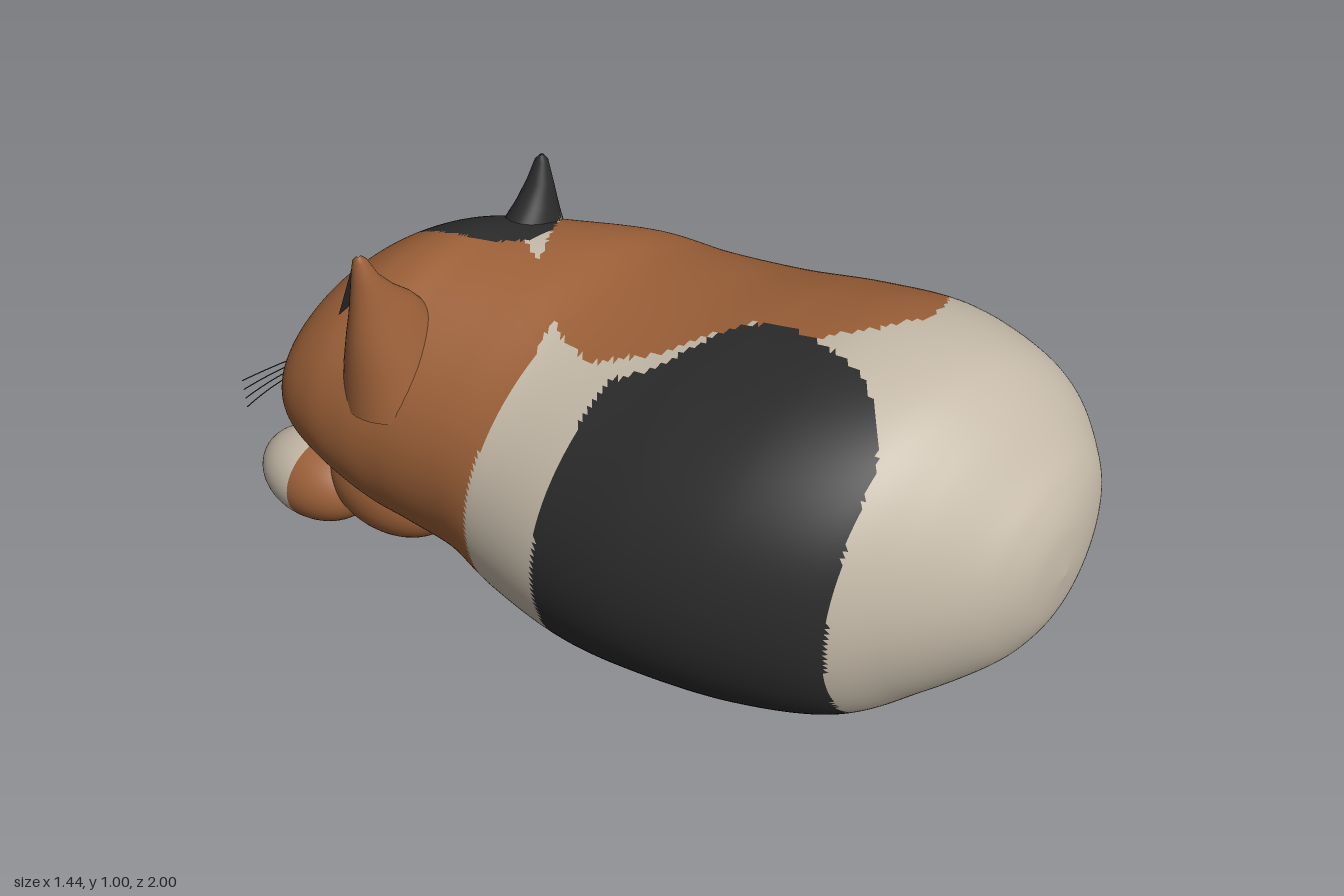
import * as THREE from 'three';

const cream = new THREE.MeshStandardMaterial({ color: 0xc4b9a8 }); cream.name = 'creamFur';
const ginger = new THREE.MeshStandardMaterial({ color: 0x9c6038 }); ginger.name = 'gingerFur';
const black = new THREE.MeshStandardMaterial({ color: 0x2b2b2b, side: THREE.DoubleSide }); black.name = 'blackFur';
const FUR = [cream, ginger, black];
const CREAM = 0, GINGER = 1, BLACK = 2;

// Sort the triangles into one group per fur colour
function paint(geo, colourAt) {
  const p = geo.attributes.position, idx = geo.index.array, lists = [[], [], []];
  for (let i = 0; i < idx.length; i += 3) {
    const t = [idx[i], idx[i + 1], idx[i + 2]];
    const mid = (get) => (get(t[0]) + get(t[1]) + get(t[2])) / 3;
    lists[colourAt(mid((k) => p.getX(k)), mid((k) => p.getY(k)), mid((k) => p.getZ(k)))].push(...t);
  }
  geo.setIndex(lists.flat());
  geo.clearGroups();
  let start = 0;
  lists.forEach((l, m) => { if (l.length) geo.addGroup(start, l.length, m); start += l.length; });
  return geo;
}

// Closed rings of points joined into a smooth skin
function loft(rings) {
  const n = rings[0].length, index = [];
  for (let i = 0; i < rings.length - 1; i++) {
    for (let j = 0; j < n; j++) {
      const a = i * n + j, b = i * n + (j + 1) % n;
      index.push(a, a + n, b, b, a + n, b + n);
    }
  }
  const geo = new THREE.BufferGeometry().setFromPoints(rings.flat());
  geo.setIndex(index);
  geo.computeVertexNormals();
  return geo;
}
const circle = (n, f) => Array.from({ length: n }, (_, j) => f(Math.cos(j / n * Math.PI * 2), Math.sin(j / n * Math.PI * 2)));

// Body and head sections: z, right edge, left edge, bottom, top
const SECTIONS = [
  [1, .04, .04, .43, .43], [.985, -.08, .16, .31, .55], [.95, -.17, .28, .22, .63], [.9, -.25, .37, .15, .69],
  [.8, -.38, .47, .06, .79], [.68, -.51, .525, -.02, .86], [.5, -.61, .56, -.05, .89], [.3, -.67, .545, -.05, .87],
  [.1, -.69, .5, -.05, .84], [-.1, -.68, .43, -.02, .835], [-.25, -.67, .35, .04, .86], [-.4, -.69, .22, .09, .875],
  [-.5, -.71, .13, .13, .88], [-.6, -.72, .065, .2, .85], [-.7, -.7, 0, .27, .78], [-.78, -.63, -.08, .33, .67],
  [-.83, -.54, -.17, .37, .59], [-.855, -.45, -.24, .41, .53], [-.868, -.34, -.34, .47, .47],
];
function section(t) {
  const last = SECTIONS.length - 1, f = t * last, i = Math.min(Math.floor(f), last - 1), u = f - i;
  const at = (k) => SECTIONS[Math.max(0, Math.min(last, k))];
  const [z, xl, xr, yb, yt] = SECTIONS[0].map((_, c) => {
    const a = at(i - 1)[c], b = at(i)[c], d = at(i + 1)[c], e = at(i + 2)[c];
    return b + .5 * u * (d - a + u * (2 * a - 5 * b + 4 * d - e + u * (3 * (b - d) + e - a)));
  });
  return { z, cx: (xl + xr) / 2, cy: (yb + yt) / 2, rx: (xr - xl) / 2, ry: (yt - yb) / 2 };
}
// Depth of the face surface at a given x and y
function faceZ(x, y) {
  let lo = .66, hi = 1;
  for (let k = 0; k < 30; k++) {
    const t = (lo + hi) / 2, s = section(t);
    if (((x - s.cx) / s.rx) ** 2 + ((y - s.cy) / s.ry) ** 2 < 1) lo = t; else hi = t;
  }
  return section(lo).z;
}

// Coat patches, outlined on the ground plane as x, z
const SADDLE = [[.7, .25], [.55, .33], [.35, .47], [.23, .53], [.13, .55], [0, .5], [-.1, .42], [-.12, .25], [-.3, .12],
  [-.38, 0], [-.36, -.1], [-.33, -.15], [-.45, -.12], [-.9, -.14], [-.9, -1], [.7, -1]];
const HIP = [[-.9, .1], [-.6, .08], [-.4, .07], [-.33, .15], [-.16, .22], [-.11, .28], [-.1, .35], [-.14, .55],
  [-.2, .64], [-.28, .7], [-.48, .725], [-.9, .73]];
const CHEEK = [[.3, -.47], [.17, -.46], [0, -.42], [-.12, -.35], [-.24, -.28], [-.2, -.36], [-.28, -.5], [-.28, -.65],
  [-.4, -.82], [-.36, -.95], [.3, -.95]];
function inside(poly, x, z) {
  let hit = false;
  poly.forEach(([ax, az], i) => {
    const [bx, bz] = poly[(i + 1) % poly.length];
    if ((az > z) !== (bz > z) && x < ax + (z - az) / (bz - az) * (bx - ax)) hit = !hit;
  });
  return hit;
}
const oval = (a, ca, ra, b, cb, rb) => ((a - ca) / ra) ** 2 + ((b - cb) / rb) ** 2 < 1;
function coat(x, y, z) {
  if (inside(HIP, x, z)) return BLACK;
  if (y > .6 && oval(x, -.15, .15, z, -.57, .22)) return BLACK;
  if (x > -.3 && oval(z, -.68, .085, y, .32, .08)) return BLACK;
  if (z < -.76 && oval(x, -.34, .16, y, .46, .11)) return CREAM;
  if (y > .2 && inside(CHEEK, x, z)) return CREAM;
  return inside(SADDLE, x, z) ? GINGER : CREAM;
}

export function createModel() {
  const cat = new THREE.Group();
  cat.name = 'sleepingCat';
  const add = (name, geo, mat) => {
    const mesh = new THREE.Mesh(geo, mat);
    mesh.name = name;
    cat.add(mesh);
  };

  // Body and head, flattened where they rest on the ground
  const bodyRings = Array.from({ length: 261 }, (_, i) => {
    const s = section(i / 260);
    return circle(180, (c, n) => new THREE.Vector3(s.cx + s.rx * c, Math.max(0, s.cy + s.ry * n), s.z));
  });
  add('bodyAndHead', paint(loft(bodyRings), coat), FUR);

  // Ears: y, outer x, inner x, half depth, flaring into the head
  const EAR = [[.6, -.69, -.42, .13], [.72, -.682, -.43, .1], [.8, -.672, -.455, .075], [.85, -.662, -.495, .058],
    [.89, -.655, -.54, .045], [.94, -.647, -.582, .031], [.99, -.64, -.607, .016], [1.003, -.63, -.62, .004]];
  for (const side of [-1, 1]) {
    const rings = EAR.map(([y, xo, xi, d]) => {
      const cx = -.335 - side * ((xo + xi) / 2 + .335), rx = (xi - xo) / 2;
      return circle(40, (c, n) => new THREE.Vector3(cx + rx * c, y, -.445 + d * n));
    });
    const rightColour = (x, y, z) => (side < 0 ? GINGER : y > .83 ? BLACK : CREAM);
    add(side < 0 ? 'rightEar' : 'leftEar', paint(loft(rings), rightColour), FUR);
  }
  // Dark inner face of the ginger ear
  const inner = [[-.648, .83], [-.555, .85], [-.625, .96]].map(([x, y]) =>
    new THREE.Vector3(x, y, y > .9 ? -.474 : -.513));
  const innerGeo = new THREE.BufferGeometry().setFromPoints(inner);
  innerGeo.computeVertexNormals();
  add('innerEar', innerGeo, black);

  // Tail curling round the side, taller than wide
  const path = new THREE.CatmullRomCurve3([[.44, .31, .53], [.55, .32, .4], [.625, .3, .2], [.637, .265, 0],
    [.59, .235, -.25], [.465, .205, -.47], [.27, .175, -.65], [.08, .155, -.755], [-.1, .15, -.82]]
    .map((p) => new THREE.Vector3(...p)));
  const up = new THREE.Vector3(0, 1, 0), N = 150;
  const tailRings = Array.from({ length: N + 1 }, (_, i) => {
    const t = i / N, p = path.getPointAt(t), u = path.getTangentAt(t).cross(up).normalize();
    const cap = Math.sqrt(Math.max(0, 1 - Math.max(0, 1 - t / .06, (t - .96) / .04) ** 2));
    const w = cap * (.09 - .035 * t), h = cap * (.125 - .07 * t);
    return circle(48, (c, n) => p.clone().addScaledVector(u, w * c).addScaledVector(up, h * n));
  });
  const tailColour = (x, y, z) => {
    const edge = .575 + .02 * Math.sin(z * 22) - Math.max(0, -z - .1) * .45;
    return z > -.28 && z < .29 && x < edge + .015 ? GINGER : CREAM;
  };
  add('tail', paint(loft(tailRings), tailColour), FUR);

  // Front legs and paws
  const blob = (name, [x, y, z], [a, b, c], colourAt) => {
    const geo = new THREE.SphereGeometry(1, 48, 32).rotateX(Math.PI / 2).scale(a, b, c).translate(x, y, z);
    add(name, paint(geo, colourAt), FUR);
  };
  blob('rightLeg', [-.48, .2, -.6], [.13, .13, .2], () => GINGER);
  blob('rightPaw', [-.535, .145, -.83], [.125, .115, .17], (x, y, z) => (z < -.81 ? CREAM : GINGER));
  blob('leftLeg', [-.12, .14, -.56], [.16, .11, .25], () => BLACK);
  blob('leftPaw', [-.14, .15, -.78], [.09, .085, .1], () => CREAM);
  blob('tailTip', [-.13, .15, -.86], [.03, .03, .04], () => CREAM);

  // Closed eyes and nose: thin ribbons laid on the face
  const ribbon = (name, x0, x1, low, high) => {
    const n = 24, pts = [], index = [];
    for (let i = 0; i <= n; i++) {
      const t = i / n, x = x0 + (x1 - x0) * t;
      for (const y of [low(t), high(t)]) pts.push(new THREE.Vector3(x, y, faceZ(x, y) - .006));
      if (i < n) index.push(2 * i, 2 * i + 1, 2 * i + 2, 2 * i + 2, 2 * i + 1, 2 * i + 3);
    }
    const geo = new THREE.BufferGeometry().setFromPoints(pts);
    geo.setIndex(index);
    geo.computeVertexNormals();
    add(name, geo, black);
  };
  const arc = (t) => .55 + .035 * Math.sin(Math.PI * t);
  const lid = (t) => arc(t) + .022 * Math.sin(Math.PI * t) + .002;
  ribbon('rightEye', -.42, -.57, arc, lid);
  ribbon('leftEye', -.26, -.11, arc, lid);
  ribbon('nose', -.365, -.315, (t) => .485 + .035 * Math.abs(2 * t - 1), () => .522);

  // Whiskers
  for (const side of [-1, 1]) {
    for (let k = 0; k < 4; k++) {
      const x = -.34 + side * .1, y = .445 + k * .012;
      const curve = new THREE.QuadraticBezierCurve3(
        new THREE.Vector3(x, y, faceZ(x, y) + .005),
        new THREE.Vector3(x + side * .12, y + .01, -.875),
        new THREE.Vector3(x + side * .23, .4 + k * .027, -.9));
      add('whisker', new THREE.TubeGeometry(curve, 10, .0015, 5), black);
    }
  }
  return cat;
}
